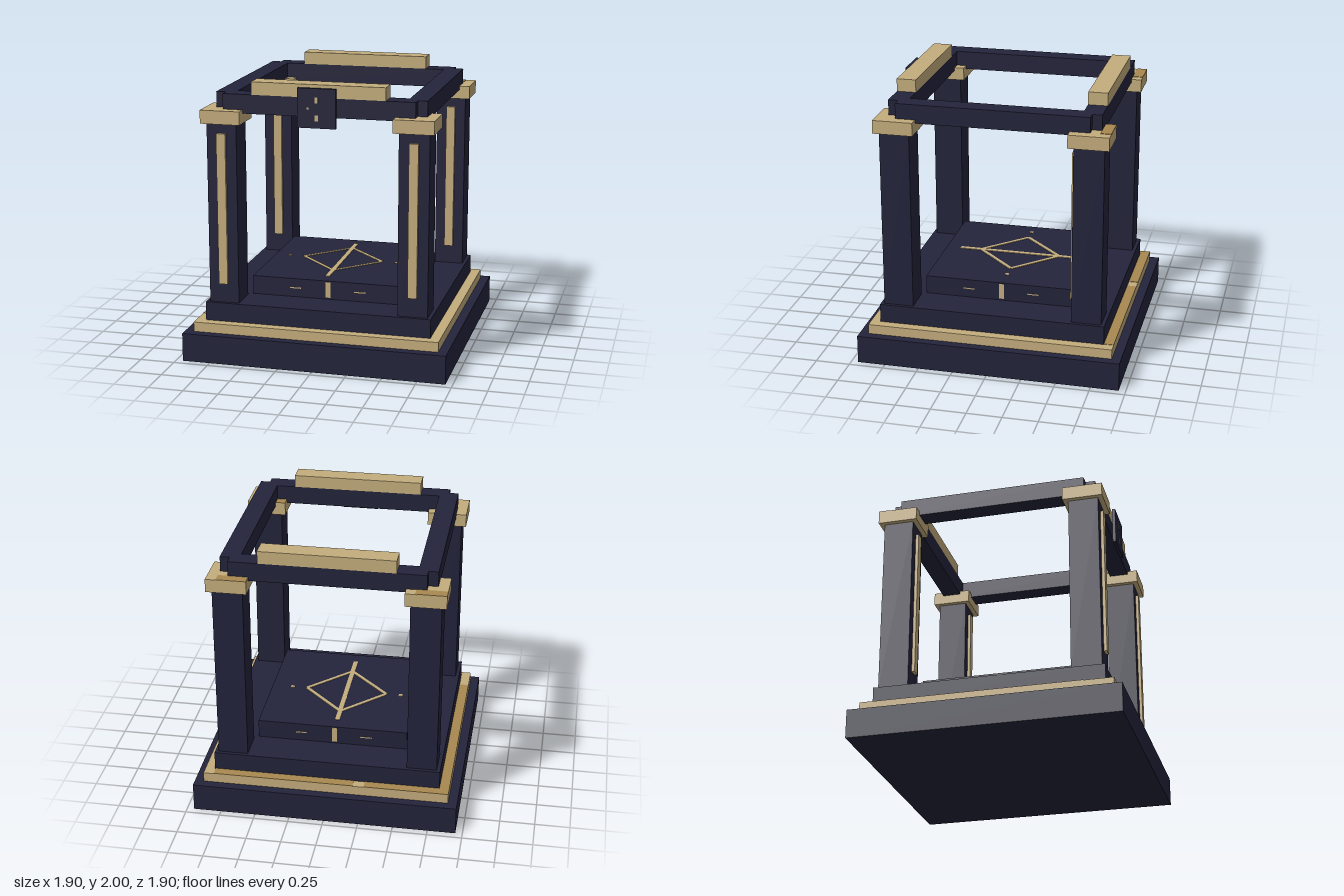
import * as THREE from 'three';

export function createModel() {
  const model = new THREE.Group();
  model.name = 'shrine';

  const stone = new THREE.MeshStandardMaterial({ color: 0x23233b });
  stone.name = 'dark stone';
  const gold = new THREE.MeshStandardMaterial({ color: 0xc4ad7d });
  gold.name = 'pale gold';
  const agedGold = new THREE.MeshStandardMaterial({ color: 0xa88850 });
  agedGold.name = 'aged gold';

  // Box given by its min and max along each axis
  function box(name, mat, [x0, x1], [y0, y1], [z0, z1], parent = model) {
    const mesh = new THREE.Mesh(new THREE.BoxGeometry(x1 - x0, y1 - y0, z1 - z0), mat);
    mesh.position.set((x0 + x1) / 2, (y0 + y1) / 2, (z0 + z1) / 2);
    mesh.name = name;
    parent.add(mesh);
    return mesh;
  }
  const span = (c, w) => [c - w / 2, c + w / 2];
  const slab = (name, mat, r, y) => box(name, mat, [-r, r], y, [-r, r]);

  // Stepped base and dais
  slab('plinth', stone, 0.95, [0, 0.205]);
  slab('goldStep', gold, 0.885, [0.205, 0.275]);
  slab('upperStep', stone, 0.815, [0.275, 0.41]);
  slab('dais', stone, 0.545, [0.41, 0.545]);

  // Pillars with capitals and a gold inlay on the front
  for (const sx of [-1, 1]) {
    for (const sz of [-1, 1]) {
      const x = sx * 0.682, z = sz * 0.682;
      const pillar = new THREE.Group();
      pillar.name = 'pillar';
      model.add(pillar);
      box('shaft', stone, span(x, 0.214), [0.41, 1.705], span(z, 0.214), pillar);
      box('capital', gold, span(x, 0.285), [1.705, 1.8], span(z, 0.285), pillar);
      box('inlay', gold, span(x, 0.065), [0.55, 1.637], [z + 0.107, z + 0.129], pillar);
    }
  }

  // Roof frame with gold crests on the front and back beams
  for (const s of [-1, 1]) {
    const c = s * 0.681;
    box('crossBeam', stone, [-0.681, 0.681], [1.775, 1.909], span(c, 0.138));
    box('sideBeam', stone, span(c, 0.138), [1.775, 1.909], [-0.681, 0.681]);
    box('crest', gold, [-0.475, 0.475], [1.909, 2], span(c, 0.138));
  }

  // Hanging plaque with its small marks
  box('plaque', stone, [-0.135, 0.135], [1.705, 1.98], [0.766, 0.79]);
  for (const [x, y, w, h] of [[0, 1.9, 0.024, 0.04], [0, 1.775, 0.024, 0.04], [-0.06, 1.84, 0.014, 0.014]])
    box('plaqueMark', gold, span(x, w), span(y, h), [0.79, 0.793]);

  // Diamond, bar and dots inlaid in the top of the dais
  const top = [0.545, 0.549];
  const cx = -0.02, cz = -0.022;
  box('daisBar', gold, span(cx, 0.034), top, [-0.445, 0.435]);
  for (const x of [-0.43, 0.39]) box('daisDot', gold, span(x, 0.028), top, span(cz, 0.028));
  const r = 0.3;
  for (let i = 0; i < 4; i++) {
    const a = Math.PI / 4 + (i * Math.PI) / 2;
    const d = r / Math.SQRT2;
    const edge = box('diamondEdge', gold, span(0, 0.026), top, span(0, r * Math.SQRT2));
    edge.position.set(cx + Math.cos(a) * d, 0.547, cz + Math.sin(a) * d);
    edge.rotation.y = -a;
  }

  // Marks repeated on the four sides of the dais
  for (let i = 0; i < 4; i++) {
    const side = new THREE.Group();
    side.name = 'daisSideMarks';
    side.rotation.y = (i * Math.PI) / 2;
    model.add(side);
    const depth = [0.545, 0.548];
    box('sideBar', gold, [-0.003, 0.034], [0.422, 0.537], depth, side);
    box('leftDash', gold, [-0.268, -0.185], [0.473, 0.481], depth, side);
    box('rightDash', gold, [0.205, 0.29], [0.473, 0.481], depth, side);
  }

  // Aged patches on the gold step
  const stepTop = [0.275, 0.278];
  box('agedStep', agedGold, [-0.885, -0.28], stepTop, [-0.885, -0.815]);
  box('agedStep', agedGold, [-0.2, 0.81], stepTop, [-0.885, -0.815]);
  box('agedStep', agedGold, [-0.885, -0.815], stepTop, [-0.815, 0.68]);

  // Aged patches on the capitals
  const capTop = [1.8, 1.803];
  box('agedCapital', agedGold, [-0.824, -0.61], capTop, [-0.824, -0.75]);
  box('agedCapital', agedGold, [0.54, 0.75], capTop, [-0.824, -0.75]);
  box('agedCapital', agedGold, [0.54, 0.612], capTop, [0.54, 0.612]);

  return model;
}
